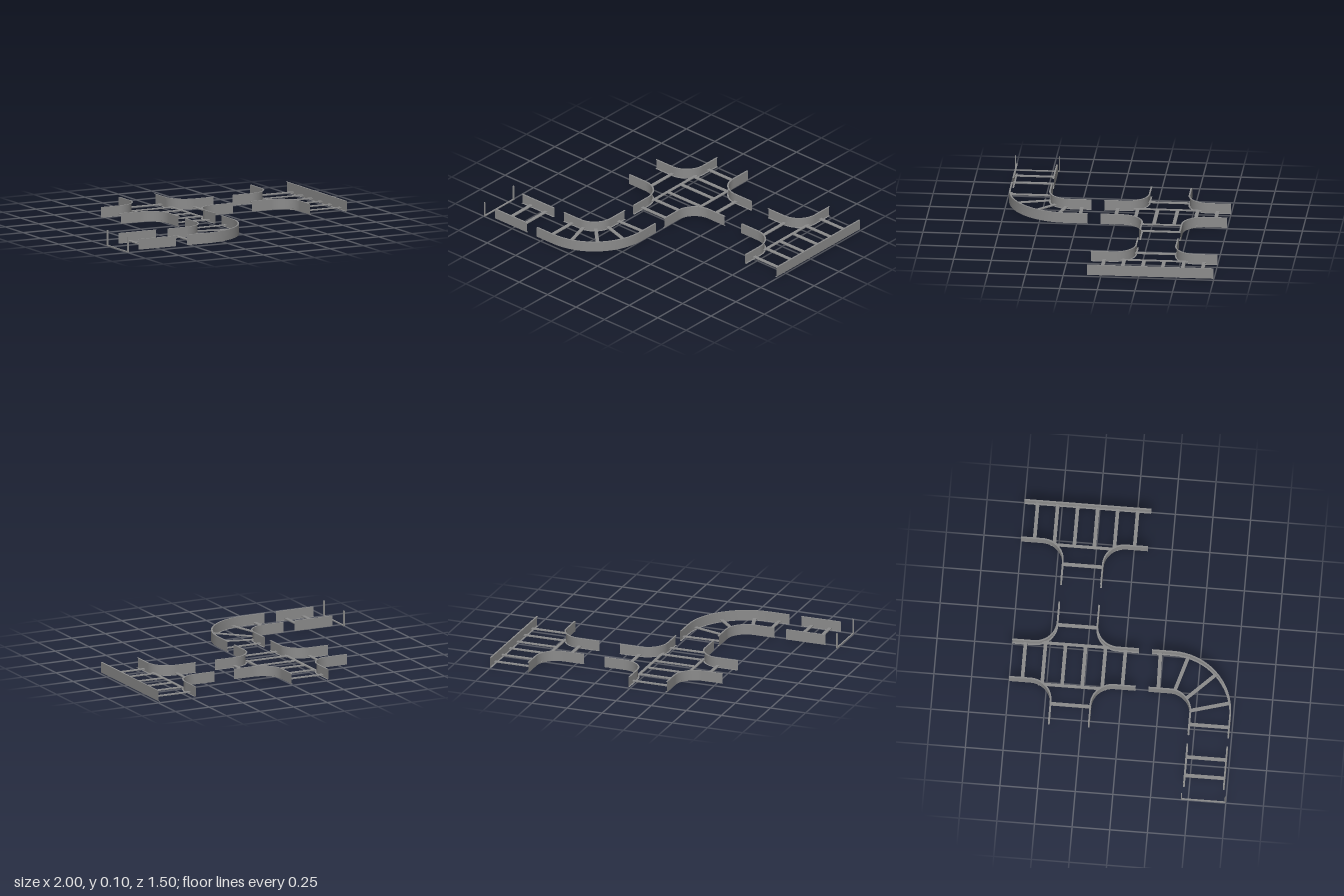
import * as THREE from 'three';

const LOW = 0.01, HIGH = 0.08, FLANGE = 0.011; // rail web heights and flange width
const HALF = 0.138, ARM = 0.143, R = 0.14;     // half tray width, straight stub, inner bend radius

export function createModel() {
  const root = new THREE.Group();
  const steel = new THREE.MeshStandardMaterial({ color: 0x8c8c8c, side: THREE.DoubleSide });
  steel.name = 'galvanised steel';

  const section = (name) => {
    const g = new THREE.Group();
    g.name = name;
    root.add(g);
    return g;
  };
  const add = (parent, geo, name) => {
    const mesh = new THREE.Mesh(geo, steel);
    mesh.name = name;
    parent.add(mesh);
    return mesh;
  };

  // Sheet channel rail: path(offset) gives [x, z] points shifted inwards by offset
  function rail(parent, path) {
    const profile = [[FLANGE, HIGH], [0, HIGH], [0, LOW], [FLANGE, LOW]];
    const pos = [], idx = [];
    for (let s = 0; s < 3; s++) {
      const [oa, ya] = profile[s], [ob, yb] = profile[s + 1];
      const a = path(oa), b = path(ob), base = pos.length / 3;
      a.forEach((p, i) => {
        pos.push(p[0], ya, p[1], b[i][0], yb, b[i][1]);
        if (i) {
          const k = base + 2 * i;
          idx.push(k - 2, k - 1, k, k, k - 1, k + 1);
        }
      });
    }
    const geo = new THREE.BufferGeometry();
    geo.setAttribute('position', new THREE.Float32BufferAttribute(pos, 3));
    geo.setIndex(idx);
    geo.computeVertexNormals();
    add(parent, geo, 'sideRail');
  }

  // Quarter bend with straight stubs; grow is +1 when flanges point away from the bend centre
  function bentRail(parent, cx, cz, sx, sz, r, grow) {
    rail(parent, (off) => {
      const q = r + grow * off, pts = [[cx - sx * ARM, cz + sz * q]];
      for (let i = 0; i <= 16; i++) {
        const t = (i / 16) * Math.PI / 2;
        pts.push([cx + sx * q * Math.sin(t), cz + sz * q * Math.cos(t)]);
      }
      pts.push([cx + sx * q, cz - sz * ARM]);
      return pts;
    });
  }

  // Flat rung between two floor points
  function rung(parent, x1, z1, x2, z2, width = 0.024, y = 0.022) {
    const len = Math.hypot(x2 - x1, z2 - z1);
    const m = add(parent, new THREE.BoxGeometry(len, 0.006, width), 'rung');
    m.position.set((x1 + x2) / 2, y, (z1 + z2) / 2);
    m.rotation.y = -Math.atan2(z2 - z1, x2 - x1);
  }

  // Cross and tee share their bent corners, rungs and side arms
  function junction(name, cx, cz, arms) {
    const g = section(name), d = HALF + R;
    for (const s of arms) {
      for (const t of [-1, 1]) bentRail(g, cx + s * d, cz + t * d, -s, -t, R, 1);
      const xa = cx + s * 0.279, xb = cx + s * 0.146;
      rung(g, xa, cz - HALF, xa, cz + HALF);
      rung(g, xb, cz - 0.225, xb, cz + 0.225, 0.02, 0.021);
    }
    for (let i = 0; i < 6; i++) {
      const z = cz - 0.333 + i * 0.1328;
      rung(g, cx - HALF, z, cx + HALF, z);
    }
    return g;
  }
  junction('crossJunction', -0.126, -0.33, [-1, 1]);
  const tee = junction('teeJunction', 0.86, -0.33, [-1]);
  rail(tee, (off) => [[0.86 + HALF - off, -0.75], [0.86 + HALF - off, 0.091]]);

  // Ninety degree bend
  const bend = section('quarterBend');
  const bx = -0.404, bz = 0.319;
  bentRail(bend, bx, bz, 1, 1, R, 1);
  bentRail(bend, bx, bz, 1, 1, R + 2 * HALF, -1);
  rung(bend, bx + R, 0.24, bx + R + 2 * HALF, 0.233);
  for (const [inner, outer] of [[10, 14], [45, 45], [80, 76]]) {
    const a = THREE.MathUtils.degToRad(inner), b = THREE.MathUtils.degToRad(outer), q = R + 2 * HALF;
    rung(bend, bx + R * Math.cos(a), bz + R * Math.sin(a), bx + q * Math.cos(b), bz + q * Math.sin(b));
  }
  rung(bend, -0.475, bz + R, -0.475, bz + R + 2 * HALF);

  // Short straight length
  const straight = section('straightTray');
  for (const s of [-1, 1]) {
    const z = 0.597 + s * HALF;
    rail(straight, (off) => [[-0.912, z - s * off], [-0.631, z - s * off]]);
  }
  for (const x of [-0.835, -0.705]) rung(straight, x, 0.597 - HALF, x, 0.597 + HALF);

  // U-shaped support bracket
  const bracket = section('supportBracket');
  add(bracket, new THREE.BoxGeometry(0.01, 0.006, 0.294), 'bracketBase').position.set(-0.995, 0.003, 0.601);
  for (const s of [-1, 1]) {
    add(bracket, new THREE.BoxGeometry(0.01, 0.105, 0.006), 'bracketUpright')
      .position.set(-0.995, 0.0525, 0.601 + s * 0.145);
  }
  return root;
}
